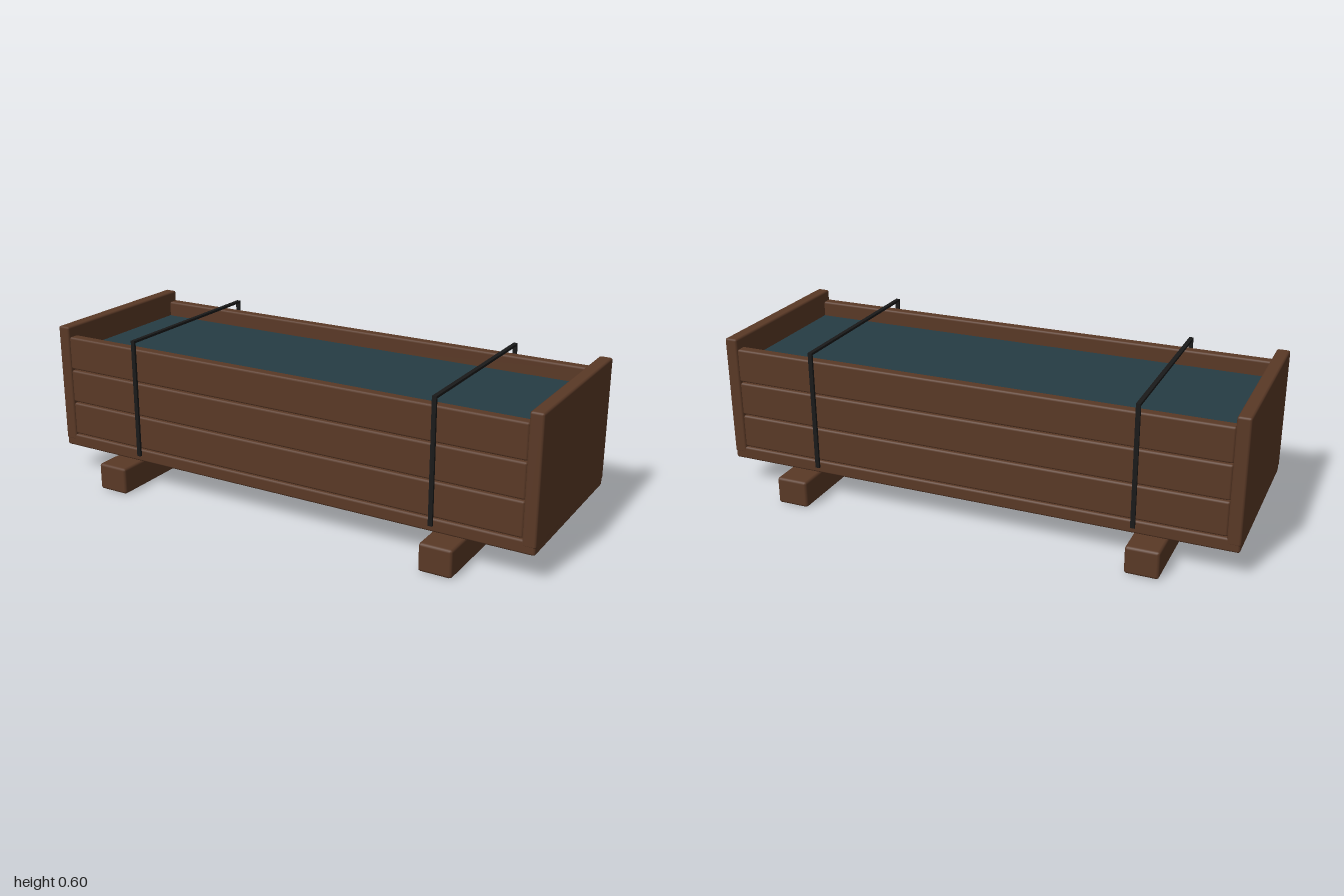
import * as THREE from 'three';
import { RoundedBoxGeometry } from 'three/addons/geometries/RoundedBoxGeometry.js';

export function createModel() {
  const crate = new THREE.Group();
  crate.name = 'crate';

  const material = (name, color) => {
    const m = new THREE.MeshStandardMaterial({ color });
    m.name = name;
    return m;
  };
  const wood = material('brown wood', 0x5a3926);
  const cargo = material('dark teal cargo', 0x263c44);
  const metal = material('black strap', 0x1a1a1a);

  // Beam with softened edges, given by its limits on each axis
  const beam = (name, mat, [x0, x1], [y0, y1], [z0, z1], radius) => {
    const size = [x1 - x0, y1 - y0, z1 - z0];
    const geometry = radius
      ? new RoundedBoxGeometry(...size, 1, radius)
      : new THREE.BoxGeometry(...size);
    const mesh = new THREE.Mesh(geometry, mat);
    mesh.name = name;
    mesh.position.set((x0 + x1) / 2, (y0 + y1) / 2, (z0 + z1) / 2);
    crate.add(mesh);
  };
  // Limits of a slab on the +1 or -1 side
  const span = (side, near, far) => (side > 0 ? [near, far] : [-far, -near]);

  beam('floor', wood, [-0.998, 0.998], [0.105, 0.155], [-0.344, 0.344], 0.008);
  beam('contents', cargo, [-0.955, 0.955], [0.15, 0.5], [-0.305, 0.305]);

  for (const side of [1, -1]) {
    const label = side > 0 ? 'left' : 'right';
    const face = side > 0 ? 'front' : 'back';

    // Skid and end panel
    beam(`${label}Skid`, wood, span(side, 0.625, 0.75), [0, 0.105], [-0.443, 0.443], 0.01);
    beam(`${label}EndPanel`, wood, span(side, 0.95, 1), [0.13, 0.6], [-0.345, 0.345], 0.008);

    // Three side planks
    for (let i = 0; i < 3; i++) {
      const y = 0.158 + i * 0.1355;
      beam(`${face}Plank${i + 1}`, wood, [-0.952, 0.952], [y, y + 0.131], span(side, 0.298, 0.342), 0.008);
    }

    // Strap: a bar across the top and a band down each face
    const x = span(side, 0.617, 0.633);
    beam(`${label}StrapTop`, metal, x, [0.587, 0.596], [-0.354, 0.354]);
    for (const z of [1, -1]) {
      beam(`${label}Strap${z > 0 ? 'Front' : 'Back'}`, metal, x, [0.13, 0.594], span(z, 0.345, 0.354));
    }
  }
  return crate;
}
